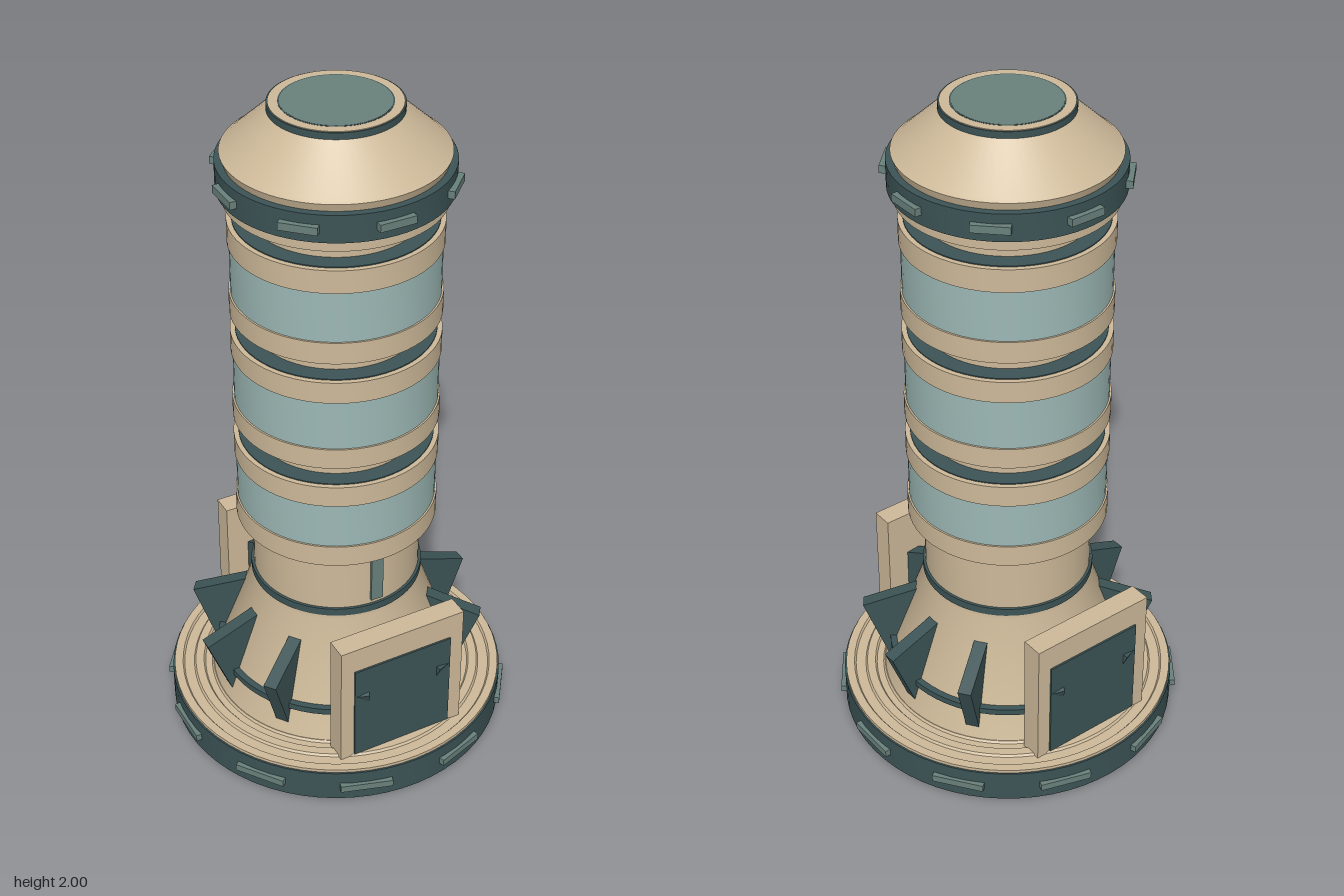
import * as THREE from 'three';
import { toCreasedNormals } from 'three/addons/utils/BufferGeometryUtils.js';

const mat = (name, color) => new THREE.MeshStandardMaterial({ name, color });

export function createModel() {
  const model = new THREE.Group();
  model.name = 'tower';
  const tan = mat('tan hull', 0xcdb999);
  const dark = mat('dark teal metal', 0x3c5355);
  const glass = mat('pale glass', 0x9cb8b5);
  const grey = mat('grey green panel', 0x69807b);

  const add = (name, geometry, material, parent = model) => {
    const mesh = new THREE.Mesh(geometry, material);
    mesh.name = name;
    parent.add(mesh);
    return mesh;
  };
  // Solid of revolution; profile runs from bottom to top as [radius, y]
  const turned = (name, profile, material) => add(name, toCreasedNormals(
    new THREE.LatheGeometry(profile.map(([r, y]) => new THREE.Vector2(r, y)), 64), 0.5), material);
  const drum = (name, r, y0, y1, material) =>
    turned(name, [[0, y0], [r, y0], [r, y1], [0, y1]], material);
  const block = (name, w, h, d, x, y, z, material, parent) => {
    const mesh = add(name, new THREE.BoxGeometry(w, h, d), material, parent);
    mesh.position.set(x, y, z);
    return mesh;
  };
  // Repeats a part around the vertical axis; each copy points along +x
  const around = (name, count, build) => {
    for (let i = 0; i < count; i++) {
      const arm = new THREE.Group();
      arm.name = name;
      arm.rotation.y = (i / count) * Math.PI * 2;
      build(arm);
      model.add(arm);
    }
  };

  // Base disc with a stepped deck and rim plates
  drum('baseDisc', 0.505, 0, 0.1, dark);
  turned('baseDeck', [
    [0.5, 0.098], [0.5, 0.11], [0.475, 0.11], [0.47, 0.103], [0.44, 0.103], [0.435, 0.11],
    [0.41, 0.11], [0.405, 0.103], [0.385, 0.103], [0.38, 0.11], [0, 0.11],
  ], tan);
  around('basePlate', 10, arm => block('rimPlate', 0.02, 0.022, 0.155, 0.505, 0.05, 0, grey, arm));

  // Flared foot and its bands
  turned('flaredFoot', [[0.38, 0.105], [0.25, 0.47], [0.25, 0.49], [0, 0.49]], tan);
  turned('footBand', [[0.33, 0.195], [0.36, 0.195], [0.36, 0.215], [0.33, 0.215]], dark);
  drum('neckBand', 0.253, 0.486, 0.51, dark);
  drum('lowerBody', 0.245, 0.5, 0.71, tan);

  // Buttress fins
  const finShape = new THREE.Shape([[0.26, 0.402], [0.34, 0.13], [0.36, 0.13], [0.438, 0.335]]
    .map(([x, y]) => new THREE.Vector2(x, y)));
  const finGeometry = new THREE.ExtrudeGeometry(finShape, { depth: 0.04, bevelEnabled: false });
  finGeometry.translate(0, 0, -0.02);
  around('buttress', 10, arm => add('fin', finGeometry, dark, arm));

  // Doorways at front and back
  for (const [name, turn] of [['frontDoorway', 0], ['backDoorway', Math.PI]]) {
    const doorway = new THREE.Group();
    doorway.name = name;
    doorway.rotation.y = turn;
    block('doorFrame', 0.4, 0.41, 0.065, 0, 0.305, 0.3725, tan, doorway);
    block('doorPanel', 0.315, 0.32, 0.009, 0, 0.27, 0.406, dark, doorway);
    model.add(doorway);
  }

  // Slot window with a small lamp above it
  block('slotWindow', 0.038, 0.145, 0.014, 0, 0.597, 0.245, grey);
  const lamp = add('windowLamp', new THREE.SphereGeometry(0.02, 16, 10), grey);
  lamp.position.set(0, 0.7, 0.245);

  // Core and three glazed storeys with dark caps
  drum('core', 0.23, 0.7, 1.75, tan);
  for (const [y0, g0, g1, y1] of [
    [0.705, 0.772, 0.915, 0.98], [1.045, 1.108, 1.26, 1.325], [1.385, 1.45, 1.6, 1.668],
  ]) {
    drum('storeyLowerRing', 0.292, y0, g0, tan);
    drum('storeyGlass', 0.287, g0, g1, glass);
    drum('storeyUpperRing', 0.292, g1, y1, tan);
    drum('storeyCaps', 0.278, y0 - 0.003, y1 + 0.003, dark);
  }

  // Head: collar with plates, sloped roof and hatch
  drum('headRing', 0.302, 1.73, 1.77, tan);
  drum('headUnderside', 0.285, 1.727, 1.74, dark);
  drum('collar', 0.318, 1.763, 1.842, dark);
  around('collarPlate', 8, arm => block('plate', 0.024, 0.022, 0.105, 0.32, 1.803, 0, grey, arm));
  turned('roof', [[0.295, 1.835], [0.305, 1.865], [0.295, 1.872], [0.178, 1.98], [0, 1.98]], tan);
  drum('hatchRim', 0.18, 1.975, 1.997, dark);
  drum('hatchRing', 0.176, 1.99, 1.999, tan);
  drum('hatchEdge', 0.15, 1.99, 1.9995, dark);
  drum('hatchDisc', 0.146, 1.99, 2, grey);

  return model;
}
